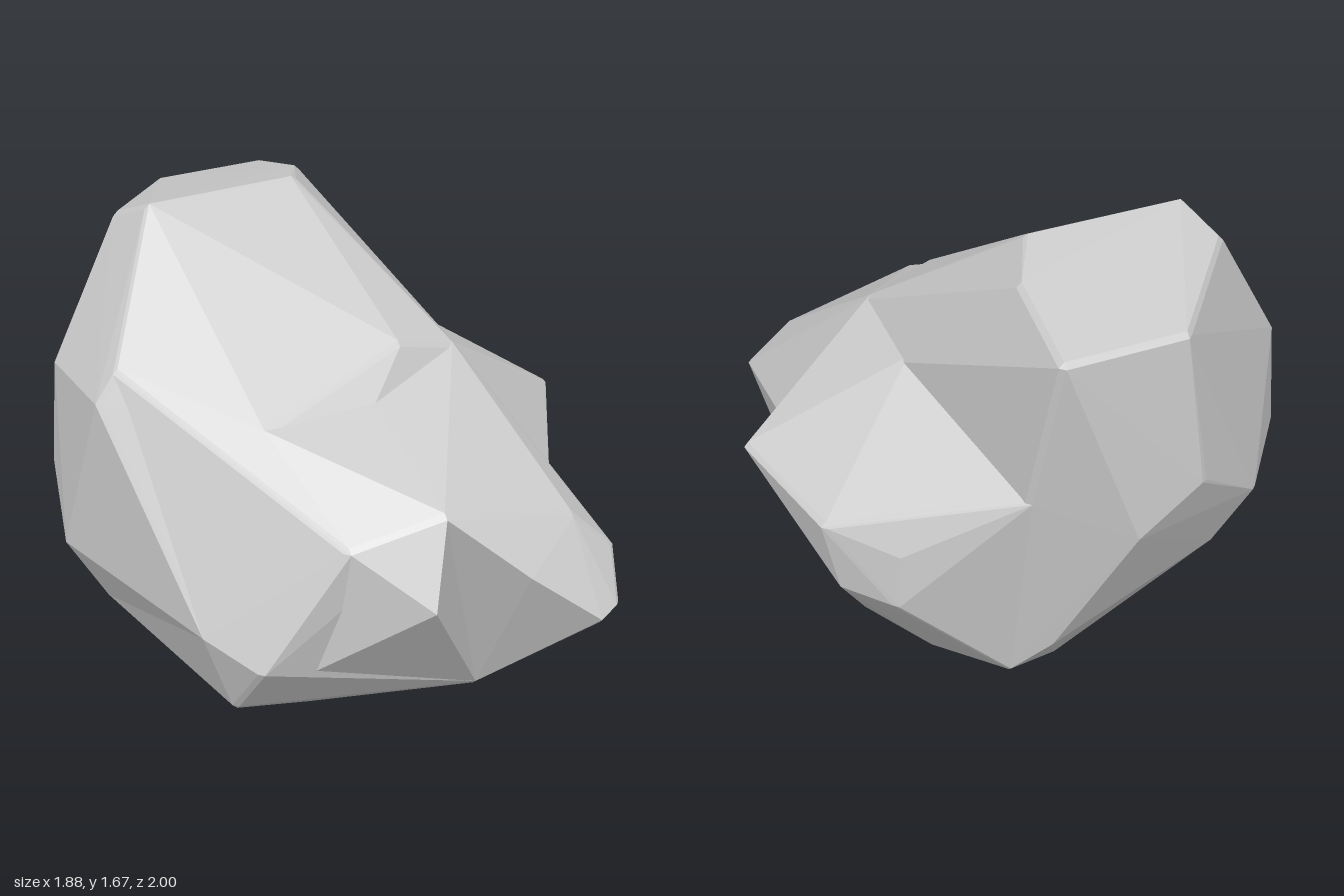
import * as THREE from 'three';
import { ConvexGeometry } from 'three/addons/geometries/ConvexGeometry.js';

const MIN = new THREE.Vector3(-0.94, 0, -1);
const MAX = new THREE.Vector3(0.94, 1.67, 1);
const BEVEL = 0.018;
const material = new THREE.MeshStandardMaterial({ color: 0xcccccc });

// Convex chunk of stone: each corner becomes a tiny octahedron, so edges get chamfered
function chunk(name, corners, bevel = BEVEL) {
  const points = [];
  for (const c of corners) {
    for (let axis = 0; axis < 3; axis++) {
      for (const s of [-bevel, bevel]) {
        const p = new THREE.Vector3(...c);
        p.setComponent(axis, c[axis] + s);
        points.push(p.clamp(MIN, MAX));
      }
    }
  }
  const mesh = new THREE.Mesh(new ConvexGeometry(points), material);
  mesh.name = name;
  return mesh;
}

export function createModel() {
  // Corners shared by neighbouring chunks
  const slopeFront = [-0.02, 1.09, 0.33];
  const slopeLeft = [-0.42, 1.08, 0.33];
  const leftShoulder = [-0.77, 1.2, -0.1];
  const saddleFront = [0.39, 1.17, 0.18];
  const saddleBack = [0.4, 1.15, -0.22];
  const backValley = [0.22, 0.94, -0.84];
  const leftFront = [-0.71, 0.44, 0.47];
  const leftFoot = [-0.61, 0.13, 0.47];
  const browLeft = [-0.31, 0.81, 0.73];
  const browRight = [0.02, 0.88, 0.78];
  const spurSide = [0.68, 0.62, 0.4];
  const frontFoot = [0.28, 0.02, 0.59];
  const rightFoot = [0.6, 0.13, 0.13];
  const backFoot = [0.22, 0.09, -0.68];
  const rightBase = [0.43, 0, 0.1];
  const base = [[0, 0, -0.57], [0.38, 0, -0.38], rightBase, [0.1, 0, 0.3]];

  const rock = new THREE.Group();
  rock.name = 'rock';

  // Tall rear mass with the sloping front
  rock.add(chunk('mainBoulder', [
    [-0.51, 1.65, -0.4], [0.05, 1.66, -0.42], [0.16, 1.61, -0.62],
    [0.17, 1.52, -0.96], [-0.25, 1.52, -0.95], [-0.57, 1.58, -0.56],
    [0.15, 1.24, 0.21], slopeFront, slopeLeft, leftShoulder, saddleFront, saddleBack, backValley,
    [-0.84, 1.1, -0.1], [-0.86, 1.11, -0.46], [-0.89, 0.72, -0.47],
    [-0.32, 0.97, -0.99], [-0.64, 0.71, -0.79], [-0.1, 0.8, -0.98], [-0.55, 0.44, -0.69],
    [-0.93, 0.46, -0.3], [-0.8, 0.24, -0.22], leftFront, backFoot, [0.1, 0.24, -0.77],
    [-0.33, 0, -0.15], [-0.48, 0, 0], ...base,
  ]));

  // Pointed shoulder on the +x side
  rock.add(chunk('sideShoulder', [
    saddleFront, saddleBack, backValley, spurSide, rightFoot, backFoot, frontFoot,
    [0.925, 0.81, -0.02], [0.79, 0.73, -0.45], [0.6, 0.68, -0.63],
    [0.74, 0.47, -0.47], [0.61, 0.47, -0.63], [0.65, 0.19, -0.12], [0.58, 0.13, -0.23],
    ...base,
  ]));

  // Low spur reaching forward on the +x side
  rock.add(chunk('frontSpur', [
    slopeFront, saddleFront, spurSide, browRight, rightFoot, frontFoot, rightBase,
    [0.53, 0.75, 0.77], [0.28, 0.65, 0.91], [0.68, 0.6, 0.8],
    [0.53, 0.45, 0.985], [0.62, 0.46, 0.94], [0.1, 0, 0.3],
  ]));

  // Front left mass below the slope
  rock.add(chunk('frontMass', [
    slopeFront, slopeLeft, leftShoulder, leftFront, browLeft, browRight, frontFoot, leftFoot,
    [-0.59, 0.37, 0.65], [-0.8, 0.24, -0.22], [-0.48, 0, 0], [-0.3, 0.02, 0.42], [0.1, 0, 0.3],
  ]));

  // Pointed lip at the brow, running back down into the foot of the rock
  rock.add(chunk('frontLip', [
    browLeft, browRight, [-0.08, 0.61, 0.9], [-0.14, 0.76, 0.6], frontFoot, leftFoot,
  ]));

  return rock;
}
